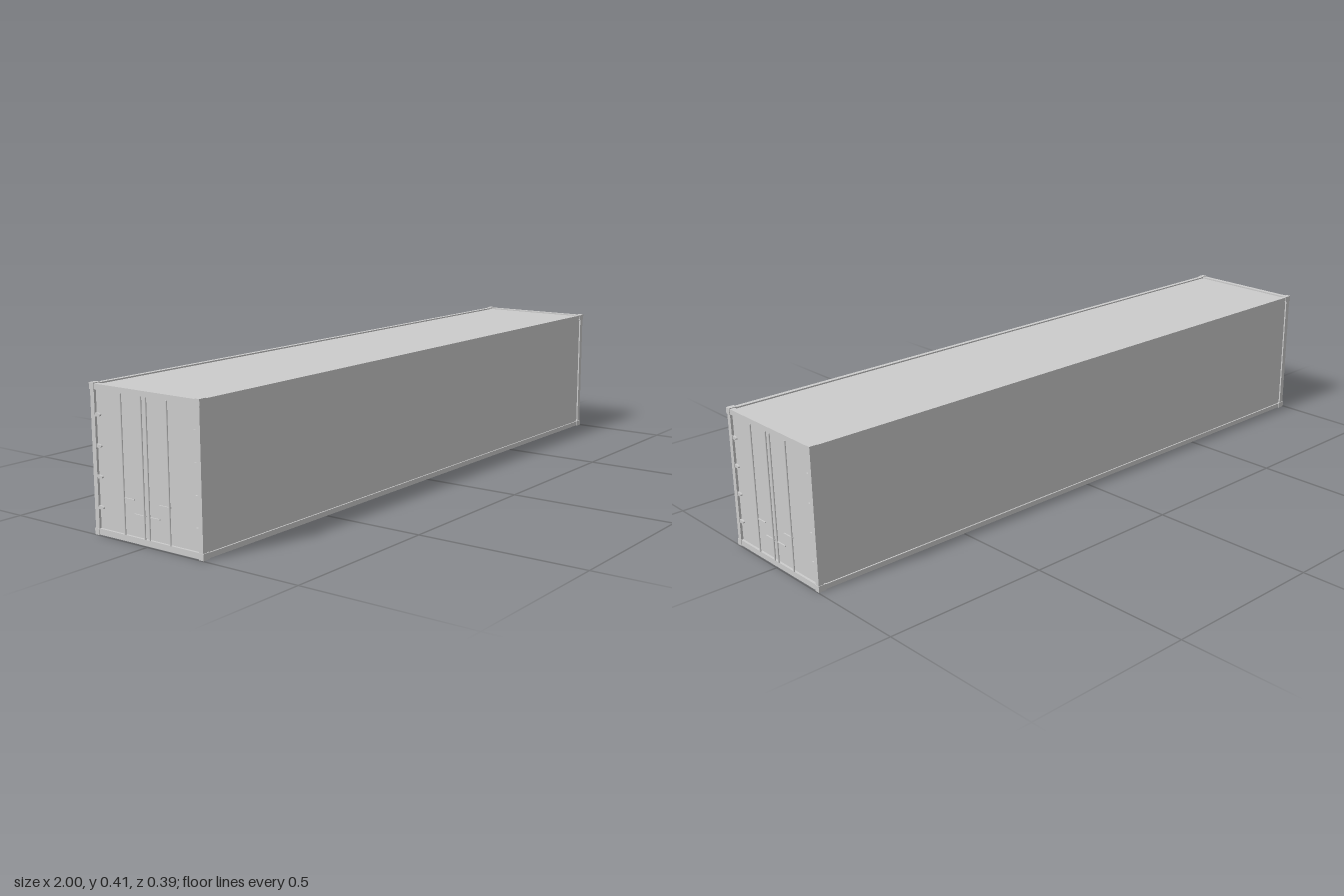
import * as THREE from 'three';

const material = new THREE.MeshStandardMaterial({ color: 0xcccccc, flatShading: true });
const smooth = new THREE.MeshStandardMaterial({ color: 0xcccccc });

// Box given by its lower and upper limits on each axis
function box(parent, name, [x0, x1], [y0, y1], [z0, z1]) {
  const mesh = new THREE.Mesh(new THREE.BoxGeometry(x1 - x0, y1 - y0, z1 - z0), material);
  mesh.position.set((x0 + x1) / 2, (y0 + y1) / 2, (z0 + z1) / 2);
  mesh.name = name;
  parent.add(mesh);
  return mesh;
}

// Limits mirrored to the chosen side
const flip = (s, a, b) => (s > 0 ? [a, b] : [-b, -a]);

// Rounded hinge tongue reaching from the post over the door
function hingeGeometry() {
  const shape = new THREE.Shape();
  shape.moveTo(0, -0.005);
  shape.lineTo(0.009, -0.0045);
  shape.quadraticCurveTo(0.017, -0.003, 0.017, 0);
  shape.quadraticCurveTo(0.017, 0.003, 0.009, 0.0045);
  shape.lineTo(0, 0.005);
  return new THREE.ExtrudeGeometry(shape, { depth: 0.007, bevelEnabled: false, curveSegments: 6 });
}

// Double doors with locking rods, handles and hinges, facing +x
function doorEnd() {
  const end = new THREE.Group();
  const rod = new THREE.CylinderGeometry(0.0024, 0.0024, 0.374, 12);
  const hinge = hingeGeometry();
  for (const s of [1, -1]) {
    box(end, 'doorLeaf', [0.975, 0.99], [0.017, 0.393], flip(s, 0.0005, 0.181));
    for (const z of [0.0088, 0.0818]) {
      const mesh = new THREE.Mesh(rod, smooth);
      mesh.position.set(0.9972, 0.205, s * z);
      mesh.name = 'lockingRod';
      end.add(mesh);
    }
    box(end, 'outerHandle', [0.994, 0.998], [0.116, 0.1185], flip(s, 0.045, 0.085));
    box(end, 'innerHandle', [0.994, 0.998], [0.0785, 0.081], flip(s, 0.005, 0.046));
    for (let i = 0; i < 4; i++) {
      const mesh = new THREE.Mesh(hinge, material);
      mesh.rotation.y = s * Math.PI / 2;
      mesh.position.set(s > 0 ? 0.989 : 0.996, 0.076 + i * 0.083, s * 0.18);
      mesh.name = 'hinge';
      end.add(mesh);
    }
  }
  // Sealing strip between the leaves
  box(end, 'doorSeal', [0.985, 0.991], [0.018, 0.392], [-0.0012, 0.0012]);
  return end;
}

export function createModel() {
  const model = new THREE.Group();
  model.name = 'shippingContainer';

  // Closed body, set slightly inside the frame
  box(model, 'body', [-0.98, 0.98], [0.004, 0.403], [-0.19, 0.19]);

  for (const s of [1, -1]) {
    // Long rails
    box(model, 'topSideRail', [-0.985, 0.985], [0.394, 0.407], flip(s, 0.181, 0.194));
    box(model, 'bottomSideRail', [-0.985, 0.985], [0.0015, 0.016], flip(s, 0.181, 0.194));
    // End rails
    box(model, 'topEndRail', flip(s, 0.981, 0.997), [0.392, 0.407], [-0.182, 0.182]);
    box(model, 'bottomEndRail', flip(s, 0.981, 0.997), [0.0015, 0.018], [-0.182, 0.182]);

    for (const t of [1, -1]) {
      // Corner posts and castings
      box(model, 'cornerPost', flip(s, 0.981, 0.997), [0.016, 0.394], flip(t, 0.18, 0.194));
      for (const y of [[0, 0.018], [0.391, 0.409]]) {
        box(model, 'cornerCasting', flip(s, 0.975, 0.9985), y, flip(t, 0.18, 0.196));
      }
    }
  }

  // The same doors at both ends
  for (const s of [1, -1]) {
    const end = doorEnd();
    end.name = s > 0 ? 'leftDoors' : 'rightDoors';
    if (s < 0) end.rotation.y = Math.PI;
    model.add(end);
  }
  return model;
}
